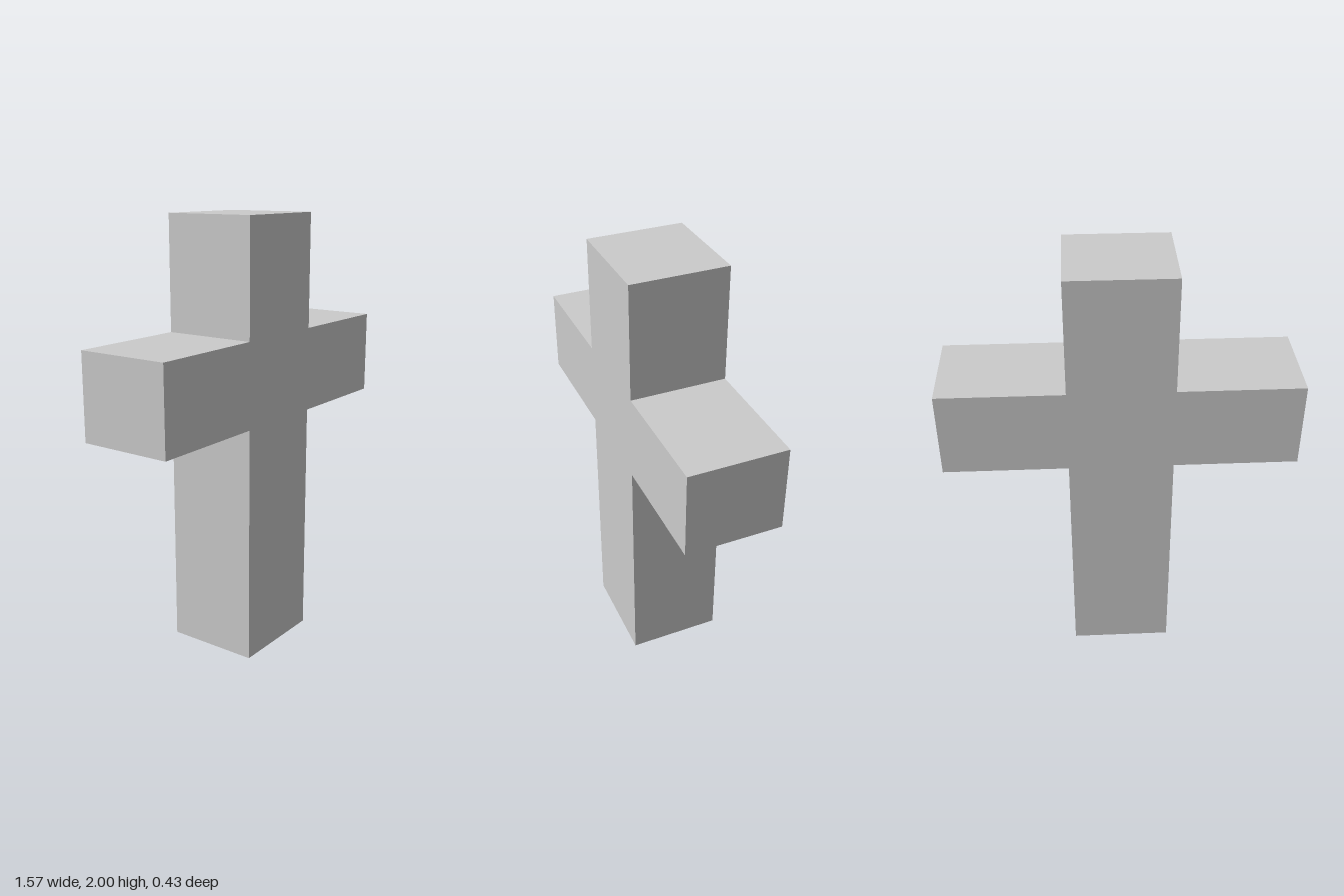
import * as THREE from 'three';

export function createModel() {
  const group = new THREE.Group();
  group.name = 'cross';

  const height = 2, depth = 0.433;
  const postHalf = 0.232, armHalf = 0.785;
  const armBottom = 1.094, armTop = 1.481;

  // Right half of the outline, bottom to top, mirrored for the other half
  const half = [
    [postHalf, 0], [postHalf, armBottom], [armHalf, armBottom],
    [armHalf, armTop], [postHalf, armTop], [postHalf, height],
  ];
  const mirrored = half.map(([x, y]) => [-x, y]).reverse();
  const outline = [...half, ...mirrored].map(([x, y]) => new THREE.Vector2(x, y));

  // Upright and crossbar as one solid
  const geometry = new THREE.ExtrudeGeometry(new THREE.Shape(outline), { depth, bevelEnabled: false });
  geometry.translate(0, 0, -depth / 2);

  const material = new THREE.MeshStandardMaterial({ color: 0xcccccc, flatShading: true });
  const body = new THREE.Mesh(geometry, material);
  body.name = 'crossBody';
  group.add(body);
  return group;
}
